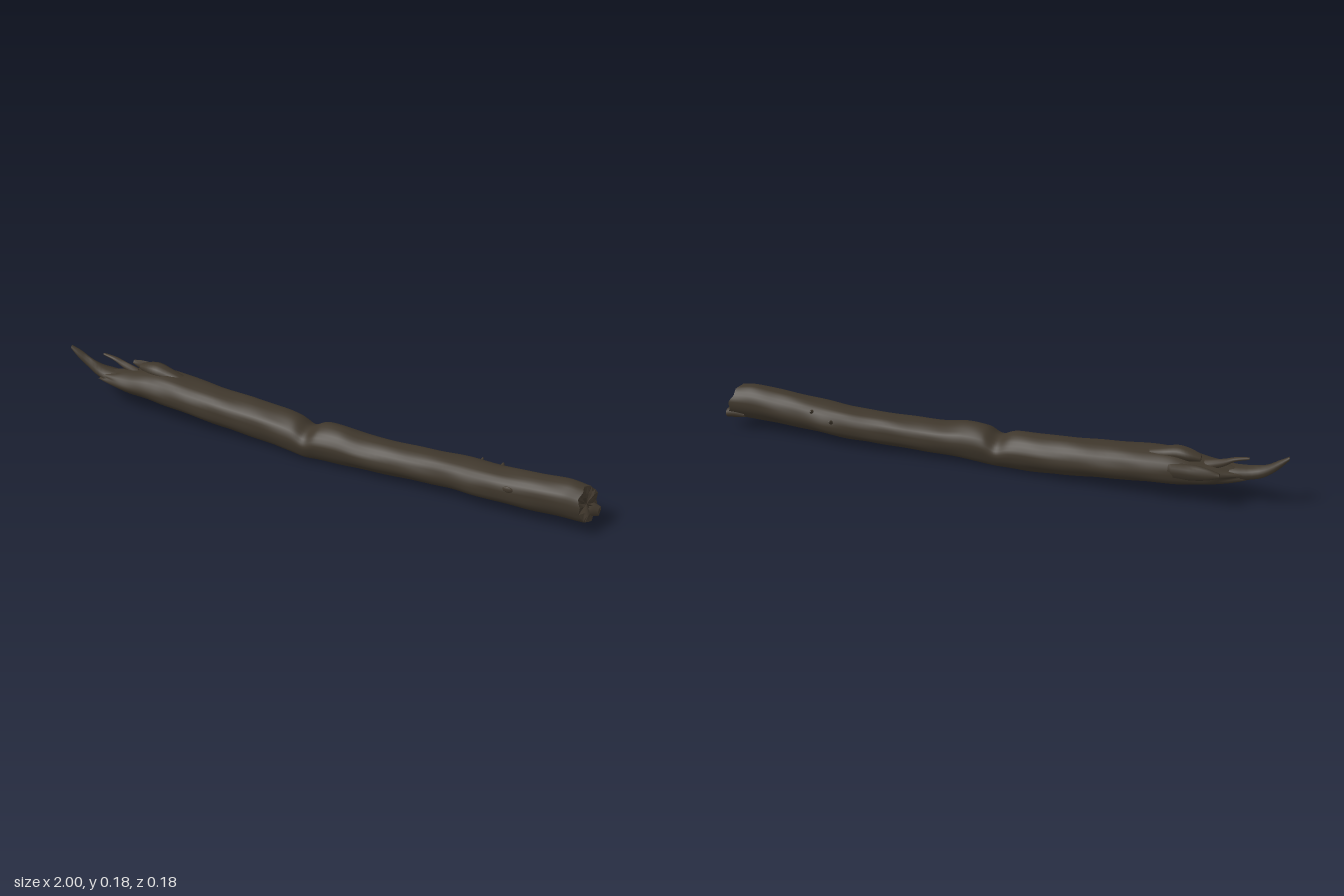
import * as THREE from 'three';

const bark = new THREE.MeshStandardMaterial({ color: 0x3f372c });
bark.name = 'bark';
const wood = new THREE.MeshStandardMaterial({ color: 0x42392e });
wood.name = 'brokenWood';

const SIDES = 28;

// Rounded section boxes along the log: [x, bottom, top, back, front]
const TRUNK = [
  [-0.85, 0.088, 0.125, -0.025, 0.042],
  [-0.80, 0.072, 0.135, -0.045, 0.052],
  [-0.74, 0.062, 0.143, -0.07, 0.060],
  [-0.66, 0.052, 0.160, -0.085, 0.063],
  [-0.58, 0.045, 0.164, -0.087, 0.068],
  [-0.40, 0.029, 0.152, -0.080, 0.069],
  [-0.20, 0.014, 0.143, -0.076, 0.068],
  [-0.08, 0.008, 0.136, -0.066, 0.076],
  [-0.02, 0.005, 0.113, -0.059, 0.080],
  [0.03, 0.007, 0.138, -0.057, 0.082],
  [0.10, 0.012, 0.142, -0.055, 0.082],
  [0.20, 0.018, 0.130, -0.055, 0.080],
  [0.40, 0.023, 0.133, -0.057, 0.070],
  [0.52, 0.026, 0.138, -0.061, 0.067],
  [0.60, 0.030, 0.142, -0.060, 0.076],
  [0.68, 0.033, 0.148, -0.050, 0.078],
  [0.80, 0.038, 0.160, -0.045, 0.079],
  [0.90, 0.043, 0.169, -0.042, 0.078],
  [0.97, 0.044, 0.163, -0.040, 0.075],
];

// Catmull-Rom blend of the section rows, t from 0 to 1
function rowAt(rows, t) {
  const f = t * (rows.length - 1);
  const i = Math.min(Math.floor(f), rows.length - 2);
  const u = f - i;
  const at = (k) => rows[Math.max(0, Math.min(rows.length - 1, k))];
  return rows[0].map((_, c) => {
    const [a, b, d, e] = [at(i - 1)[c], at(i)[c], at(i + 1)[c], at(i + 2)[c]];
    return b + 0.5 * u * (d - a + u * (2 * a - 5 * b + 4 * d - e + u * (3 * (b - d) + e - a)));
  });
}

// Rings of points through the rows, with lengthwise bark ridges
function makeRings(rows, steps, sides, rough, shift = () => 0) {
  const rings = [];
  for (let i = 0; i <= steps; i++) {
    const [x, y0, y1, z0, z1] = rowAt(rows, i / steps);
    const ring = [];
    for (let j = 0; j < sides; j++) {
      const a = (j / sides) * Math.PI * 2;
      const r = 1 + rough * (Math.sin(5 * a + 6 * x) * 0.5 + Math.sin(9 * a - 11 * x) * 0.3
        + Math.sin(3 * a + 37 * x) * 0.3);
      ring.push(new THREE.Vector3(
        x + shift(x, a),
        (y0 + y1) / 2 + (y1 - y0) / 2 * r * Math.sin(a),
        (z0 + z1) / 2 + (z1 - z0) / 2 * r * Math.cos(a)));
    }
    rings.push(ring);
  }
  return rings;
}

// Smooth skin through the rings
function skin(rings) {
  const n = rings[0].length;
  const index = [];
  for (let i = 0; i < rings.length - 1; i++) {
    for (let j = 0; j < n; j++) {
      const k = (j + 1) % n;
      const a = i * n + j, b = i * n + k;
      index.push(a, a + n, b, b, a + n, b + n);
    }
  }
  const g = new THREE.BufferGeometry().setFromPoints(rings.flat());
  g.setIndex(index);
  g.computeVertexNormals();
  return g;
}

// Rough, faceted end cap; dir is +1 at the right end and -1 at the left
function cap(ring, dir, rough) {
  const centre = ring.reduce((s, p) => s.add(p), new THREE.Vector3()).divideScalar(ring.length);
  const inner = ring.map((p, j) => {
    const q = p.clone().lerp(centre, 0.4);
    q.x += rough * Math.sin(j * 2.7);
    return q;
  });
  centre.x -= dir * rough;
  const pts = [];
  const tri = (a, b, c) => pts.push(...(dir > 0 ? [a, c, b] : [a, b, c]));
  ring.forEach((p, j) => {
    const k = (j + 1) % ring.length;
    tri(p, ring[k], inner[j]);
    tri(ring[k], inner[k], inner[j]);
    tri(centre, inner[j], inner[k]);
  });
  const g = new THREE.BufferGeometry().setFromPoints(pts);
  g.computeVertexNormals();
  return g;
}

function add(group, name, geometry, material) {
  const mesh = new THREE.Mesh(geometry, material);
  mesh.name = name;
  group.add(mesh);
  return mesh;
}

// Closed small loft for splinters and loose bark
function splinter(group, name, rows, material) {
  const part = new THREE.Group();
  part.name = name;
  const rings = makeRings(rows, 14, 10, 0.16);
  add(part, name + 'Skin', skin(rings), material);
  add(part, name + 'Tip', cap(rings[0], -1, 0.002), wood);
  add(part, name + 'Root', cap(rings[14], 1, 0.002), wood);
  group.add(part);
}

export function createModel() {
  const log = new THREE.Group();
  log.name = 'fallenLog';

  // Slanted break on the right, jagged break on the left
  const shift = (x, a) => {
    const right = THREE.MathUtils.smoothstep(x, 0.88, 0.97);
    const left = 1 - THREE.MathUtils.smoothstep(x, -0.85, -0.74);
    return right * (-0.014 * Math.sin(a) - 0.012 * Math.cos(a) + 0.004 * Math.sin(7 * a))
      + left * (0.016 * Math.sin(6 * a) + 0.012 * Math.sin(a));
  };
  const rings = makeRings(TRUNK, 150, SIDES, 0.04, shift);
  add(log, 'trunk', skin(rings), bark);
  add(log, 'rightBreak', cap(rings[150], 1, 0.005), wood);
  add(log, 'leftBreak', cap(rings[0], -1, 0.008), wood);

  // Long upturned tail on the left
  splinter(log, 'tailSplinter', [
    [-1.0, 0.176, 0.190, 0.000, 0.014],
    [-0.97, 0.142, 0.174, -0.012, 0.016],
    [-0.93, 0.108, 0.150, -0.018, 0.014],
    [-0.88, 0.088, 0.135, -0.022, 0.030],
    [-0.82, 0.080, 0.130, -0.028, 0.042],
    [-0.74, 0.075, 0.125, -0.030, 0.045],
  ], bark);
  // Thin raised sliver
  splinter(log, 'topSliver', [
    [-0.875, 0.170, 0.178, -0.020, -0.010],
    [-0.83, 0.157, 0.172, -0.026, -0.008],
    [-0.79, 0.132, 0.160, -0.032, -0.008],
    [-0.73, 0.110, 0.145, -0.035, -0.005],
  ], wood);
  // Prong standing clear along the back edge
  splinter(log, 'backProng', [
    [-0.79, 0.122, 0.138, -0.090, -0.072],
    [-0.75, 0.105, 0.146, -0.093, -0.066],
    [-0.70, 0.095, 0.150, -0.092, -0.058],
    [-0.62, 0.090, 0.145, -0.086, -0.040],
  ], bark);
  // Lifted bark over the break
  splinter(log, 'barkFlap', [
    [-0.72, 0.148, 0.168, -0.045, -0.010],
    [-0.68, 0.140, 0.182, -0.052, 0.006],
    [-0.64, 0.138, 0.187, -0.050, 0.012],
    [-0.59, 0.138, 0.174, -0.046, 0.010],
    [-0.52, 0.135, 0.155, -0.035, 0.005],
  ], bark);
  // Ragged lip at the lower right end
  splinter(log, 'endLip', [
    [0.93, 0.050, 0.085, -0.034, 0.022],
    [0.97, 0.046, 0.094, -0.037, 0.018],
    [1.0, 0.048, 0.080, -0.036, -0.002],
  ], wood);

  // Small twig stubs on the back
  [[0.58, 0.108, -0.062, 0.022], [0.66, 0.128, -0.042, 0.012]].forEach(([x, y, z, h]) => {
    const twig = add(log, 'twigStub', new THREE.CylinderGeometry(0.003, 0.008, h, 7), bark);
    twig.position.set(x, y, z);
    twig.rotation.x = -1.0;
  });

  // Shallow knot on the front
  const knot = add(log, 'knot', new THREE.SphereGeometry(0.014, 12, 8), wood);
  knot.scale.set(1.3, 0.8, 0.4);
  knot.position.set(0.72, 0.115, 0.073);
  return log;
}
